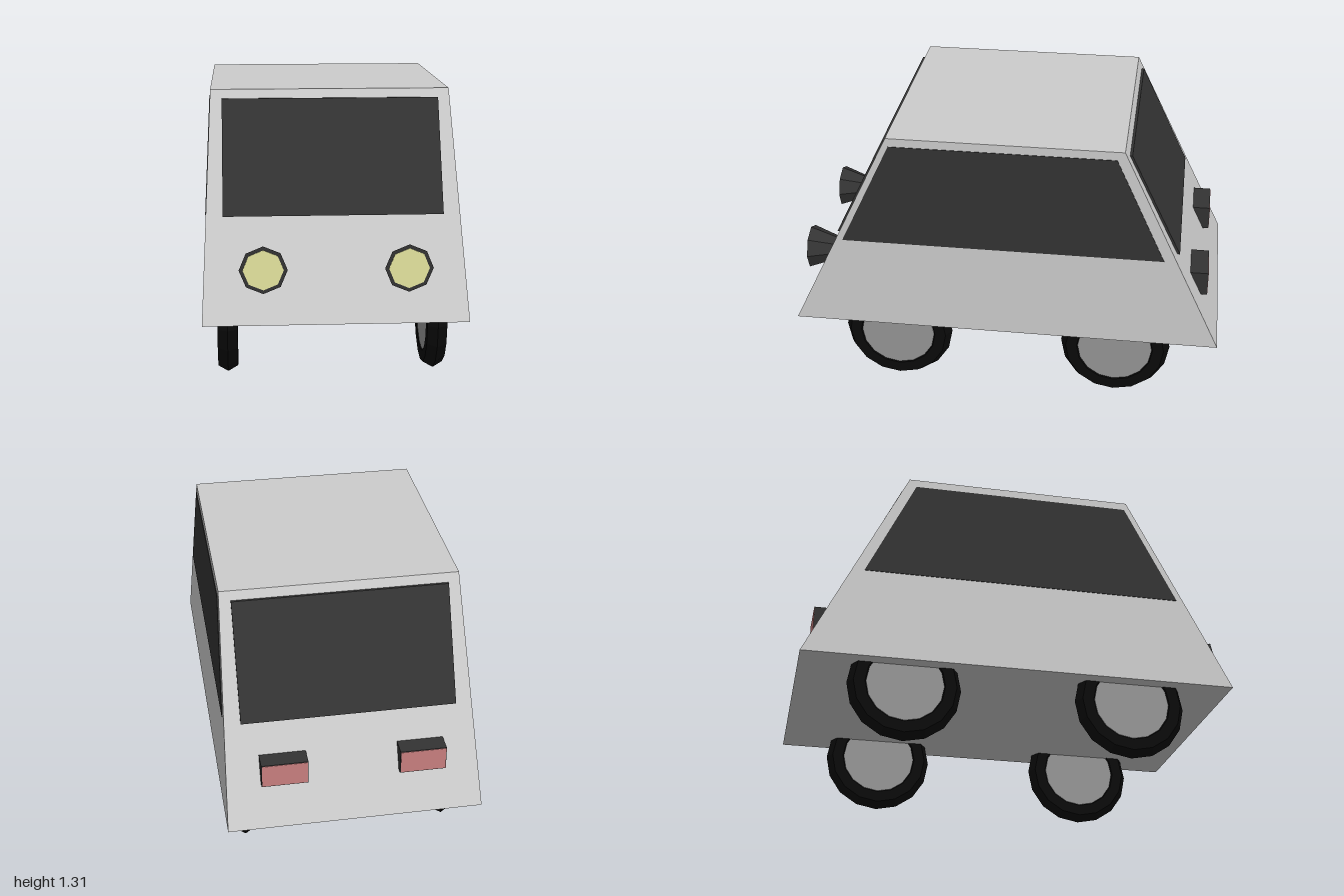
import * as THREE from 'three';

const paint = (color) => new THREE.MeshStandardMaterial({ color, flatShading: true });

// Tapered block between two rectangles [x0, x1, z0, z1] at heights y0 and y1
function taperedBlock(y0, bottom, y1, top) {
  const geo = new THREE.BoxGeometry(1, 1, 1);
  const p = geo.attributes.position;
  for (let i = 0; i < p.count; i++) {
    const up = p.getY(i) > 0;
    const r = up ? top : bottom;
    p.setXYZ(i, p.getX(i) < 0 ? r[0] : r[1], up ? y1 : y0, p.getZ(i) < 0 ? r[2] : r[3]);
  }
  geo.computeVertexNormals();
  return geo;
}

export function createModel() {
  const car = new THREE.Group();
  car.name = 'car';
  const grey = paint(0xcccccc);
  const glass = paint(0x333333);
  const rubber = paint(0x0a0a0a);
  const hubGrey = paint(0x969696);
  const yellow = paint(0xe6e6a0);
  const red = paint(0xc87f7f);

  function add(name, geometry, material, parent = car) {
    const mesh = new THREE.Mesh(geometry, material);
    mesh.name = name;
    parent.add(mesh);
    return mesh;
  }

  // Body shell
  add('body', taperedBlock(0.35, [-0.579, 0.579, -1, 1], 1.312, [-0.537, 0.537, -0.535, 0.535]), grey);

  // Windscreen and rear window, slightly proud of the body
  const y0 = 0.786, y1 = 1.273;
  add('windscreen', taperedBlock(y0, [-0.486, 0.486, 0.76, 0.799], y1, [-0.486, 0.486, 0.525, 0.563]), glass);
  add('rearWindow', taperedBlock(y0, [-0.486, 0.486, -0.801, -0.76], y1, [-0.486, 0.486, -0.565, -0.525]), glass);

  // Side windows
  add('leftWindow', taperedBlock(y0, [0.54, 0.563, -0.732, 0.757], y1, [0.52, 0.5415, -0.502, 0.523]), glass);
  add('rightWindow', taperedBlock(y0, [-0.563, -0.54, -0.732, 0.757], y1, [-0.5415, -0.52, -0.502, 0.523]), glass);

  // Wheels: six-sided tyre section around a flat hub
  const tyreGeo = new THREE.TorusGeometry(0.207, 0.052, 6, 16).rotateY(Math.PI / 2);
  const hubGeo = new THREE.CylinderGeometry(0.176, 0.176, 0.082, 16).rotateZ(Math.PI / 2);
  for (const [end, z] of [['front', 0.526], ['rear', -0.522]]) {
    for (const side of [1, -1]) {
      const wheel = new THREE.Group();
      wheel.name = end + (side > 0 ? 'Left' : 'Right') + 'Wheel';
      wheel.position.set(side * 0.473, 0.26, z);
      add('tyre', tyreGeo, rubber, wheel);
      add('hub', hubGeo, hubGrey, wheel);
      car.add(wheel);
    }
  }

  // Lamps on both sides
  const shellGeo = new THREE.CylinderGeometry(0.105, 0.045, 0.16, 8).rotateX(Math.PI / 2);
  const lensGeo = new THREE.CylinderGeometry(0.088, 0.088, 0.01, 8).rotateX(Math.PI / 2);
  for (const side of [1, -1]) {
    const prefix = side > 0 ? 'left' : 'right';

    // Octagonal flared headlight
    const head = new THREE.Group();
    head.name = prefix + 'Headlight';
    head.position.set(side * 0.314, 0.59, 0.9);
    add('housing', shellGeo, glass, head);
    add('lens', lensGeo, yellow, head).position.z = 0.078;
    car.add(head);

    // Box tail light with a coloured rear face
    const tail = new THREE.Group();
    tail.name = prefix + 'TailLight';
    tail.position.set(side * 0.312, 0.592, 0);
    add('housing', new THREE.BoxGeometry(0.21, 0.115, 0.15), glass, tail).position.z = -0.863;
    add('lens', new THREE.BoxGeometry(0.204, 0.109, 0.01), red, tail).position.z = -0.935;
    car.add(tail);
  }
  return car;
}
